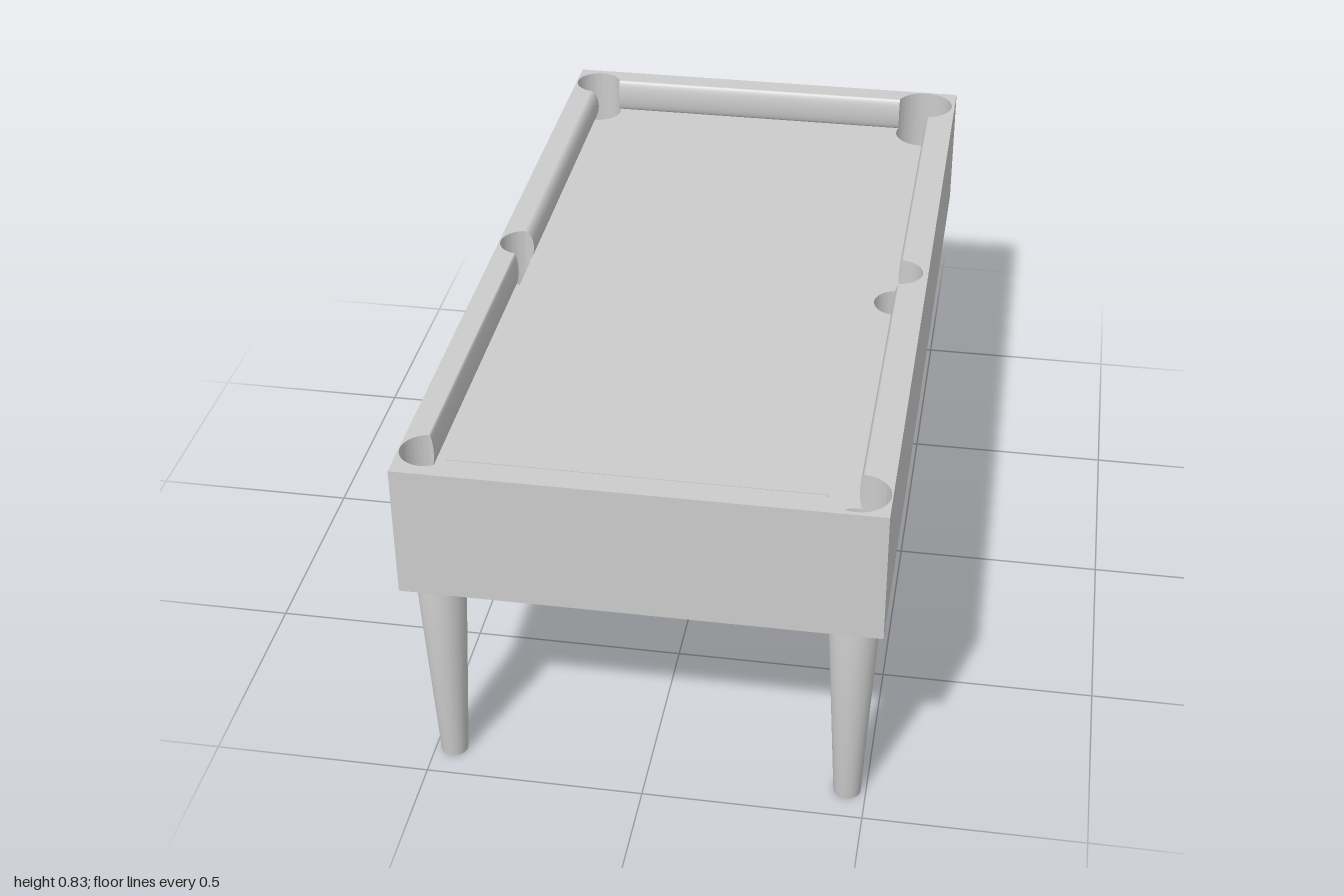
import * as THREE from 'three';
import { toCreasedNormals } from 'three/addons/utils/BufferGeometryUtils.js';

const HALF_X = 0.527, HALF_Z = 1;
const BOTTOM = 0.517, POCKET_Y = 0.65, BED_Y = 0.746, TOP = 0.833;
// inner edges of the rails
const LEFT = -0.477, RIGHT = 0.462, BACK = -0.947, FRONT = 0.942;

const material = new THREE.MeshStandardMaterial({ color: 0xcccccc });

function add(group, geometry, name) {
  const mesh = new THREE.Mesh(geometry, material);
  mesh.name = name;
  group.add(mesh);
  return mesh;
}

// where a rail line crosses a pocket circle; sign picks the side
function onX(p, x, sign) {
  return new THREE.Vector2(x, p.z + sign * Math.sqrt(p.r ** 2 - (x - p.x) ** 2));
}
function onZ(p, z, sign) {
  return new THREE.Vector2(p.x + sign * Math.sqrt(p.r ** 2 - (z - p.z) ** 2), z);
}

function outerShape() {
  return new THREE.Shape([
    new THREE.Vector2(-HALF_X, -HALF_Z), new THREE.Vector2(HALF_X, -HALF_Z),
    new THREE.Vector2(HALF_X, HALF_Z), new THREE.Vector2(-HALF_X, HALF_Z),
  ]);
}

// plan shape (x, z) hanging down from y = top
function slab(shape, top, bottom) {
  const g = new THREE.ExtrudeGeometry(shape, {
    depth: top - bottom, bevelEnabled: false, curveSegments: 40,
  });
  g.rotateX(Math.PI / 2);
  g.translate(0, top, 0);
  return toCreasedNormals(g, 0.6);
}

export function createModel() {
  const group = new THREE.Group();
  group.name = 'poolTable';

  // pockets in order round the table, with the points where the rails meet them
  const pockets = [
    { x: -0.465, z: -0.925, r: 0.059 },
    { x: 0.445, z: -0.922, r: 0.074 },
    { x: 0.457, z: 0, r: 0.057 },
    { x: 0.457, z: 0.923, r: 0.067 },
    { x: -0.467, z: 0.912, r: 0.058 },
    { x: -0.467, z: 0, r: 0.057 },
  ];
  const [bl, br, mr, fr, fl, ml] = pockets;
  const mouths = [
    [onX(bl, LEFT, 1), onZ(bl, BACK, 1)],
    [onZ(br, BACK, -1), onX(br, RIGHT, 1)],
    [onX(mr, RIGHT, -1), onX(mr, RIGHT, 1)],
    [onX(fr, RIGHT, -1), onZ(fr, FRONT, -1)],
    [onZ(fl, FRONT, 1), onX(fl, LEFT, -1)],
    [onX(ml, LEFT, 1), onX(ml, LEFT, -1)],
  ];

  // cabinet below the bed; its top is the pocket floor
  const cabinet = add(group,
    new THREE.BoxGeometry(HALF_X * 2, POCKET_Y - BOTTOM, HALF_Z * 2), 'cabinet');
  cabinet.position.y = (POCKET_Y + BOTTOM) / 2;

  // bed with deep pocket holes; one side pocket stops at the rail
  const bed = outerShape();
  for (const p of pockets) {
    const hole = new THREE.Path();
    if (p === ml) {
      hole.absarc(p.x, p.z, p.r, Math.PI / 2, Math.PI * 1.5, false);
      hole.closePath();
    } else {
      hole.absarc(p.x, p.z, p.r, 0, Math.PI * 2, false);
    }
    bed.holes.push(hole);
  }
  add(group, slab(bed, BED_Y, POCKET_Y), 'bed');

  // rail frame with the pocket walls cut into its opening
  const frame = outerShape();
  const opening = new THREE.Path();
  pockets.forEach((p, i) => {
    const [a, b] = mouths[i].map((v) => Math.atan2(v.y - p.z, v.x - p.x));
    opening.absarc(p.x, p.z, p.r, a, b, false);
  });
  opening.closePath();
  frame.holes.push(opening);
  add(group, slab(frame, TOP, BED_Y), 'railFrame');

  // rounded cushions between neighbouring pockets
  const bulges = [0.012, 0.01, 0.01, 0.02, 0.008, 0.022];
  bulges.forEach((bulge, i) => {
    const a = mouths[i][1], b = mouths[(i + 1) % 6][0];
    const dir = b.clone().sub(a);
    const g = new THREE.CylinderGeometry(1, 1, dir.length(), 20, 1, false, 0, Math.PI);
    g.rotateX(Math.PI / 2);
    g.scale(bulge, (TOP - BED_Y) / 2, 1);
    const cushion = add(group, g, 'cushion');
    cushion.position.set((a.x + b.x) / 2, (TOP + BED_Y) / 2, (a.y + b.y) / 2);
    cushion.rotation.y = Math.atan2(-dir.x, -dir.y);
  });

  // tapered round legs, shaded smoothly into their ends
  const legGeometry = new THREE.LatheGeometry([
    new THREE.Vector2(0, 0), new THREE.Vector2(0.031, 0),
    new THREE.Vector2(0.057, BOTTOM), new THREE.Vector2(0, BOTTOM),
  ], 32);
  for (const x of [-0.457, 0.457]) {
    for (const z of [-0.932, 0.912]) {
      add(group, legGeometry, 'leg').position.set(x, 0, z);
    }
  }
  return group;
}
